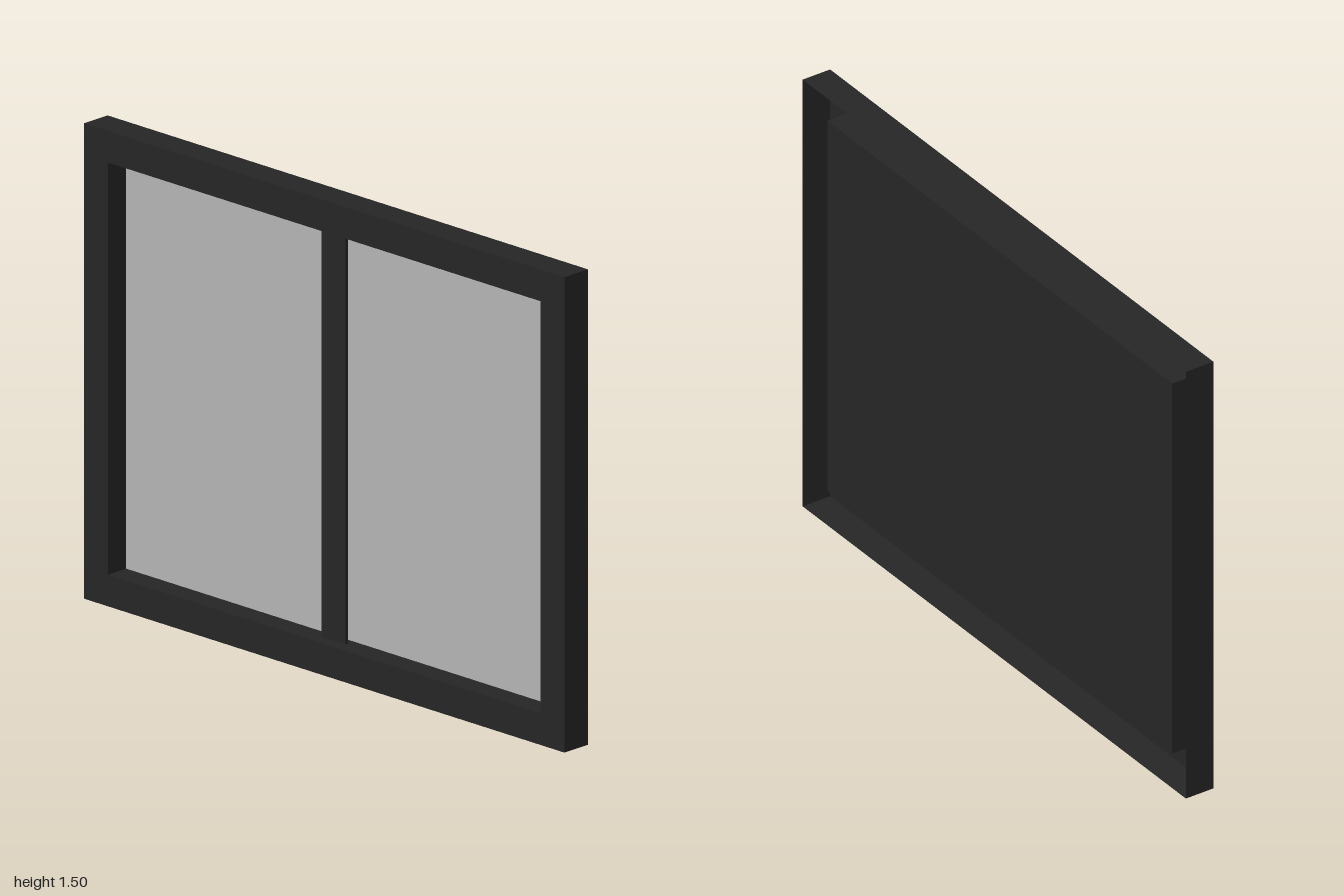
import * as THREE from 'three';

const CENTER_Y = 0.75;
const FRONT = 0.05;
const BACK = -0.05;
const PANEL = -0.03;

const dark = new THREE.MeshStandardMaterial({ color: 0x262626, side: THREE.DoubleSide });
const pane = new THREE.MeshStandardMaterial({ color: 0xb4b4b4 });

function addMesh(parent, name, geometry, material, x, y, z) {
  const mesh = new THREE.Mesh(geometry, material);
  mesh.name = name;
  mesh.position.set(x, y, z);
  parent.add(mesh);
  return mesh;
}

// Four thin walls around a rectangle, open at front and back
function wallRing(name, width, height, zBack, zFront) {
  const ring = new THREE.Group();
  ring.name = name;
  const depth = zFront - zBack;
  const z = (zFront + zBack) / 2;
  for (const s of [-1, 1]) {
    const side = addMesh(ring, s > 0 ? 'leftWall' : 'rightWall',
      new THREE.PlaneGeometry(depth, height), dark, s * width / 2, CENTER_Y, z);
    side.rotation.y = s * Math.PI / 2;
    const level = addMesh(ring, s > 0 ? 'topWall' : 'bottomWall',
      new THREE.PlaneGeometry(width, depth), dark, 0, CENTER_Y + s * height / 2, z);
    level.rotation.x = -s * Math.PI / 2;
  }
  return ring;
}

// Centred rectangle outline
function rectangle(target, w, h) {
  target.moveTo(-w / 2, -h / 2).lineTo(w / 2, -h / 2)
    .lineTo(w / 2, h / 2).lineTo(-w / 2, h / 2).closePath();
  return target;
}

export function createModel() {
  const model = new THREE.Group();
  model.name = 'window';

  // Hollow frame: face plate, outer rim and recessed opening
  const face = rectangle(new THREE.Shape(), 2, 1.5);
  face.holes.push(rectangle(new THREE.Path(), 1.8, 1.3));
  addMesh(model, 'frameFace', new THREE.ShapeGeometry(face), dark, 0, CENTER_Y, FRONT);
  model.add(wallRing('outerRim', 2, 1.5, BACK, FRONT));
  model.add(wallRing('innerRim', 1.8, 1.3, PANEL, FRONT));

  // Dark backing that closes the recess
  addMesh(model, 'backPanel', new THREE.PlaneGeometry(1.8, 1.3), dark, 0, CENTER_Y, PANEL);

  // Two panes on either side of the centre bar
  for (const s of [-1, 1]) {
    addMesh(model, s > 0 ? 'leftPane' : 'rightPane',
      new THREE.PlaneGeometry(0.9, 1.3), pane, s * 0.45, CENTER_Y, PANEL + 0.003);
  }

  // Centre bar, set back from the frame face
  addMesh(model, 'centreBar', new THREE.BoxGeometry(0.1, 1.3, 0.01), dark, 0, CENTER_Y, 0.005);

  return model;
}
